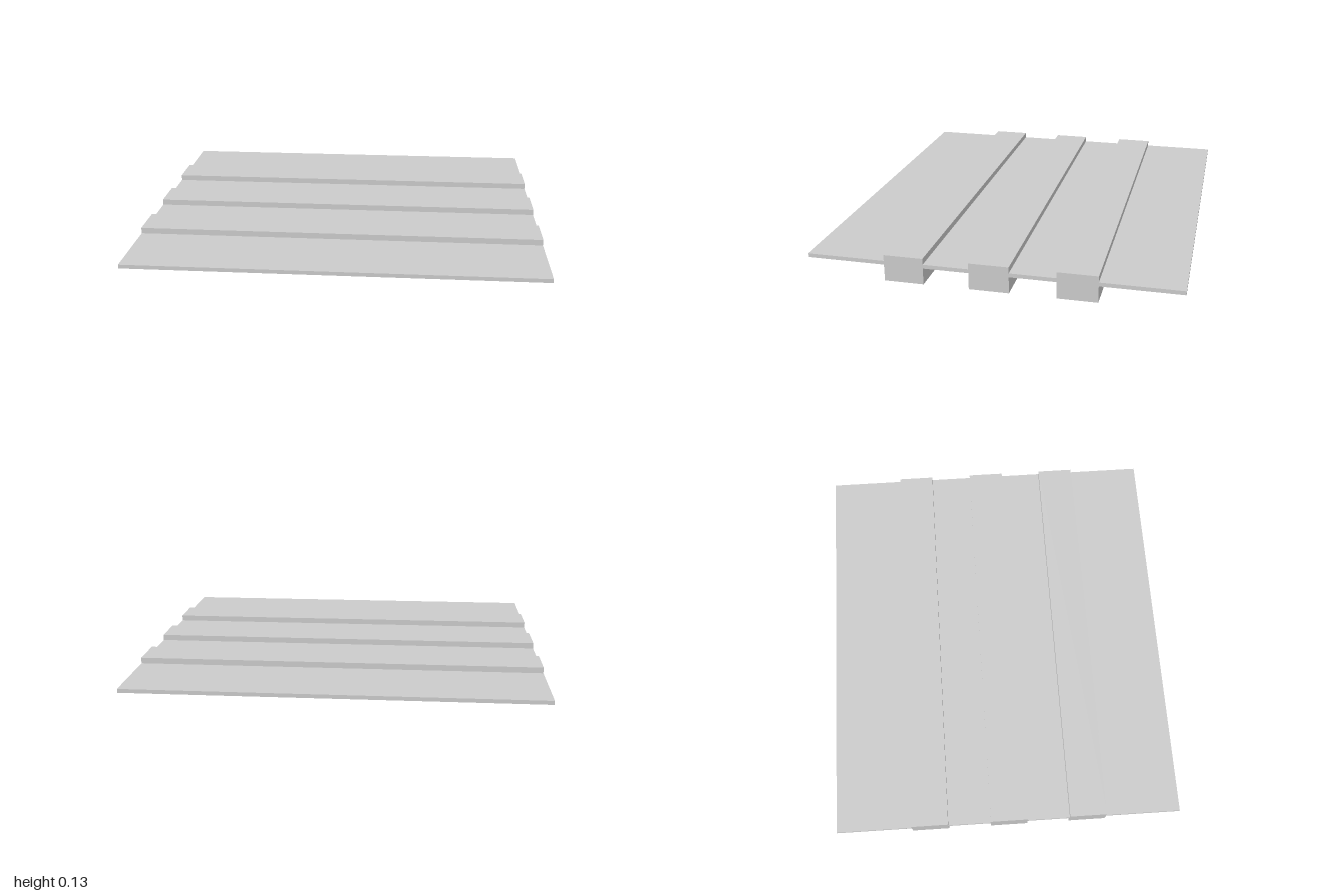
import * as THREE from 'three';

export function createModel() {
  const model = new THREE.Group();
  const grey = new THREE.MeshStandardMaterial({ color: 0xcccccc });
  const dark = new THREE.MeshStandardMaterial({ color: 0x111111 });

  // Box placed by its centre in x and z and by its bottom and top in y
  function box(name, width, bottom, top, depth, x, z, material = grey) {
    const mesh = new THREE.Mesh(new THREE.BoxGeometry(width, top - bottom, depth), material);
    mesh.position.set(x, (bottom + top) / 2, z);
    mesh.name = name;
    model.add(mesh);
  }

  // Thin panel
  box('panel', 2, 0.08, 0.099, 1.746, 0, 0);

  // Three beams running through the panel
  for (const z of [-0.402, 0.002, 0.404]) box('beam', 2, 0, 0.128, 0.187, 0, z);

  // Thin dark strips on the underside, between and outside the beams
  for (const z of [-0.595, -0.195, 0.205, 0.605]) {
    for (const x of [-0.563, 0.563]) box('underStrip', 0.375, 0.073, 0.08, 0.019, x, z, dark);
  }

  return model;
}
